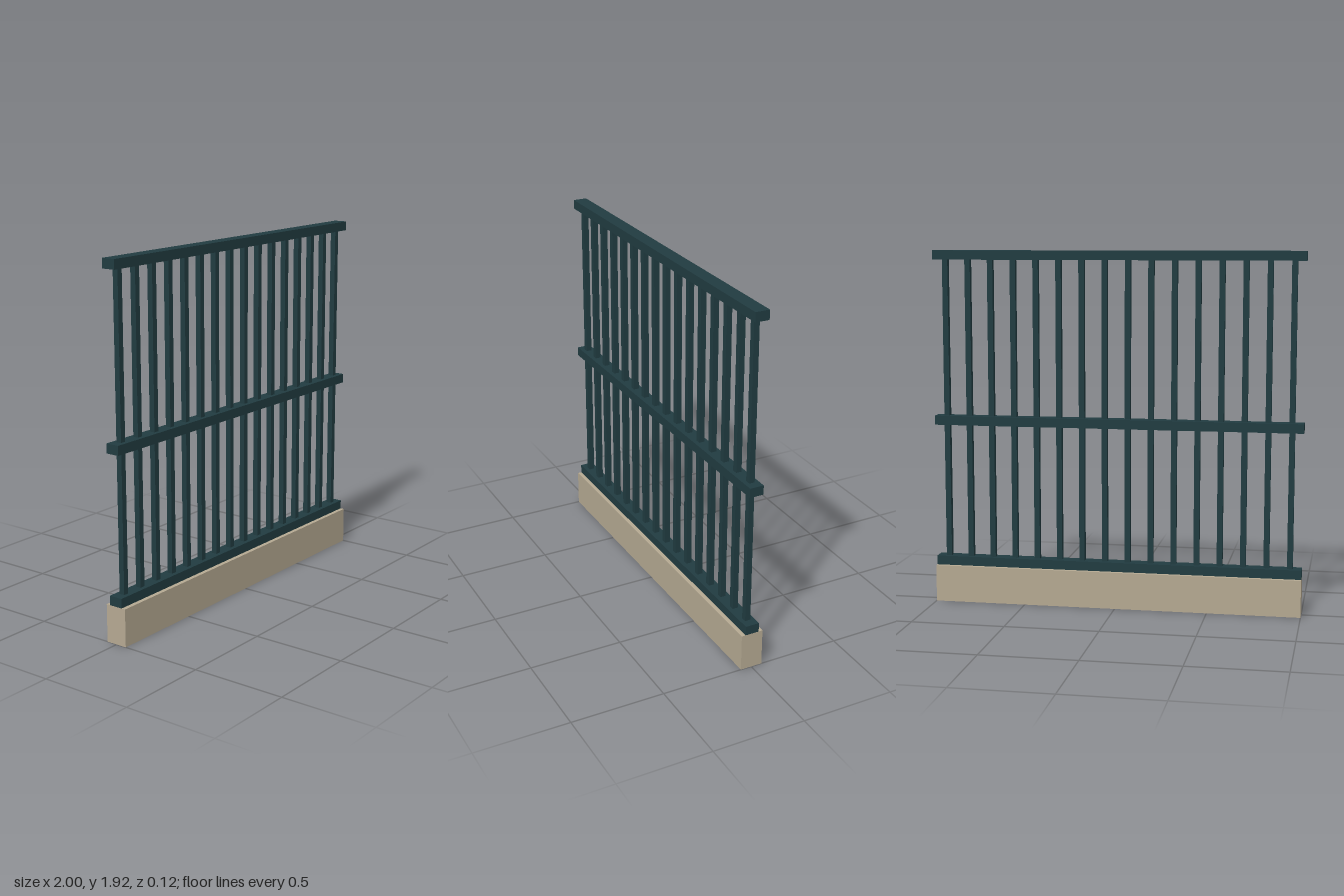
import * as THREE from 'three';

export function createModel() {
  const group = new THREE.Group();
  const stone = new THREE.MeshStandardMaterial({ color: 0xb5a992 });
  stone.name = 'stone';
  const paintedMetal = new THREE.MeshStandardMaterial({ color: 0x213c41 });
  paintedMetal.name = 'dark green metal';

  // Box spanning bottom to top in y, centred on z = 0
  function addBox(name, width, bottom, top, depth, material, x = 0) {
    const mesh = new THREE.Mesh(new THREE.BoxGeometry(width, top - bottom, depth), material);
    mesh.position.set(x, (bottom + top) / 2, 0);
    mesh.name = name;
    group.add(mesh);
  }

  // Stone plinth
  addBox('plinth', 2, 0, 0.2, 0.12, stone);

  // Horizontal rails
  addBox('bottomRail', 2, 0.2, 0.25, 0.075, paintedMetal);
  addBox('middleRail', 2, 0.98, 1.03, 0.075, paintedMetal);
  addBox('topRail', 2, 1.875, 1.925, 0.075, paintedMetal);

  // Evenly spaced square bars
  const count = 16;
  const spacing = 2 / count;
  for (let i = 0; i < count; i++) {
    addBox(`bar${i + 1}`, 0.03, 0.22, 1.9, 0.03, paintedMetal, -1 + spacing * (i + 0.5));
  }

  return group;
}
